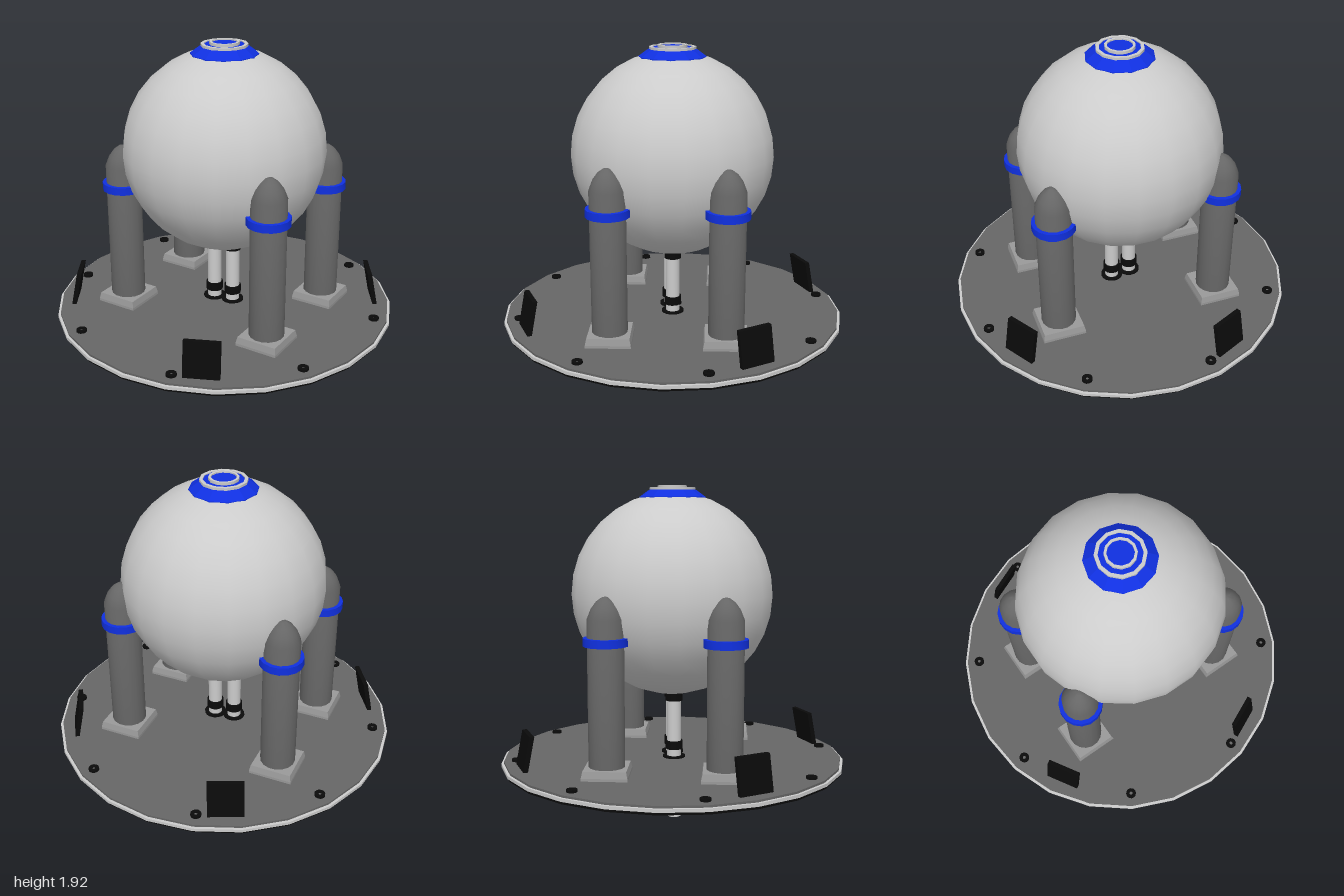
import * as THREE from 'three';
import { toCreasedNormals } from 'three/addons/utils/BufferGeometryUtils.js';

const mat = (color) => new THREE.MeshStandardMaterial({ color, roughness: 0.8 });
const grey = mat(0xcccccc), mid = mat(0x999999), dark = mat(0x666666);
const black = mat(0x0a0a0a), blue = mat(0x1030e0);

function add(parent, name, geometry, material, x = 0, y = 0, z = 0) {
  const mesh = new THREE.Mesh(geometry, material);
  mesh.name = name;
  mesh.position.set(x, y, z);
  parent.add(mesh);
  return mesh;
}

// Turned part from [radius, height] pairs, bottom to top
function turned(points, sides, crease = 0.6) {
  const profile = points.map(([r, y]) => new THREE.Vector2(r, y));
  return toCreasedNormals(new THREE.LatheGeometry(profile, sides), crease);
}

// Upright drum between two heights
const drum = (r, y0, y1, sides) => turned([[0, y0], [r, y0], [r, y1], [0, y1]], sides);

// Ring with a square section
const band = (inner, outer, y0, y1, sides) =>
  turned([[inner, y0], [outer, y0], [outer, y1], [inner, y1], [inner, y0]], sides);

function group(parent, name, x = 0, z = 0) {
  const g = new THREE.Group();
  g.name = name;
  g.position.set(x, 0, z);
  parent.add(g);
  return g;
}

export function createModel() {
  const model = new THREE.Group();
  model.name = 'sphericalTank';

  // Round base plate in three layers
  const base = group(model, 'basePlate');
  add(base, 'plateUnderside', drum(0.99, 0.312, 0.328, 24), black);
  add(base, 'plateRim', drum(1, 0.328, 0.346, 24), grey);
  add(base, 'plateTop', drum(0.985, 0.346, 0.358, 24), dark);

  // Bolts around the edge
  for (let i = 0; i < 8; i++) {
    const a = (i * Math.PI) / 4;
    const bolt = group(base, 'bolt', 0.91 * Math.cos(a), 0.91 * Math.sin(a));
    add(bolt, 'boltHead', band(0.01, 0.03, 0.355, 0.372, 12), black);
    add(bolt, 'boltCore', drum(0.011, 0.355, 0.364, 8), dark);
  }

  // Panels leaning inward over the edge
  const panelAngles = [0.475, 2.18];
  for (const a of [...panelAngles, ...panelAngles.map((v) => v + Math.PI)]) {
    const panel = group(model, 'leaningPanel', 0.875 * Math.cos(a), 0.875 * Math.sin(a));
    panel.rotation.y = -a;
    const g = new THREE.BoxGeometry(0.026, 0.253, 0.2);
    const p = g.attributes.position;
    for (let i = 0; i < p.count; i++) p.setX(i, p.getX(i) - 0.2 * p.getY(i));
    g.computeVertexNormals();
    add(panel, 'panel', g, black, 0.01, 0.429);
  }

  // Four columns with pointed tops, blue bands and square feet
  const columns = [[0.52, 0.257], [-0.035, 0.577], [-0.52, -0.257], [0.035, -0.577]];
  for (const [x, z] of columns) {
    const column = group(model, 'column', x, z);
    add(column, 'columnShaft', turned([[0.1, 0.4], [0.1, 1.215], [0.078, 1.27],
      [0.05, 1.308], [0.02, 1.33], [0, 1.335]], 16), dark);
    add(column, 'columnBand', band(0.098, 0.122, 1.07, 1.115, 16), blue);
    const foot = group(column, 'columnFoot');
    foot.rotation.y = THREE.MathUtils.degToRad(31);
    add(foot, 'footBlock', new THREE.BoxGeometry(0.25, 0.068, 0.25), mid, 0, 0.339);
    const taper = new THREE.CylinderGeometry(0.235 / Math.SQRT2, 0.25 / Math.SQRT2, 0.037, 4)
      .toNonIndexed();
    taper.rotateY(Math.PI / 4);
    taper.computeVertexNormals();
    add(foot, 'footTop', taper, mid, 0, 0.3915);
    add(foot, 'footUnderside', new THREE.BoxGeometry(0.244, 0.006, 0.244), black, 0, 0.305);
  }

  // Two pipes from below the plate up into the tank
  for (const s of [-1, 1]) {
    const pipe = group(model, 'pipe', 0.037 * s - 0.006, 0.046 * s);
    add(pipe, 'pipeTube', drum(0.041, 0, 0.76, 16), grey);
    add(pipe, 'pipeFlange', drum(0.065, 0.35, 0.368, 16), black);
    add(pipe, 'pipeCollar', drum(0.05, 0.408, 0.457, 16), black);
    add(pipe, 'pipeTopCollar', drum(0.05, 0.695, 0.76, 16), black);
  }

  // Tank
  const tank = add(model, 'tank', new THREE.SphereGeometry(0.58, 20, 16), grey, 0, 1.31);
  tank.rotation.y = 0.06;

  // Hatch on top
  const hatch = group(model, 'hatch');
  add(hatch, 'hatchSkirt', turned([[0.19, 1.845], [0.19, 1.86], [0.135, 1.9], [0, 1.905]], 12, 0.3), blue);
  add(hatch, 'hatchOuterRing', band(0.113, 0.132, 1.89, 1.914, 12), grey);
  add(hatch, 'hatchPlate', drum(0.114, 1.89, 1.909, 12), blue);
  add(hatch, 'hatchInnerRing', band(0.07, 0.084, 1.9, 1.925, 12), grey);
  add(hatch, 'hatchCentre', drum(0.071, 1.9, 1.917, 12), blue);

  return model;
}
